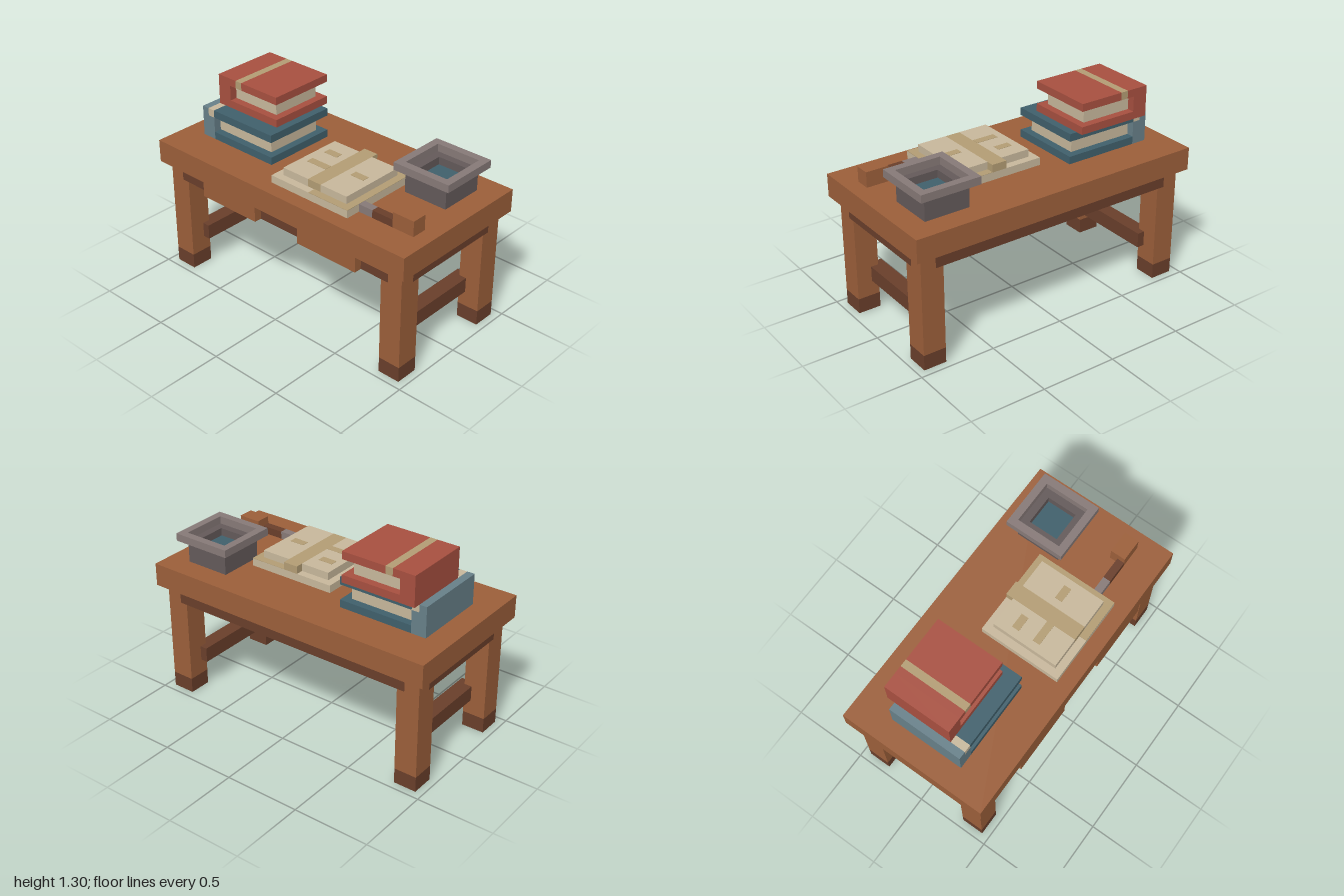
import * as THREE from 'three';

const mat = (name, color) => {
  const m = new THREE.MeshStandardMaterial({ color });
  m.name = name;
  return m;
};

export function createModel() {
  const brown = mat('wood', 0x9c5f3a), dark = mat('darkWood', 0x6a3f2b);
  const red = mat('redCover', 0xa85040), teal = mat('tealCover', 0x40606c);
  const paleTeal = mat('tealSpine', 0x678089), cream = mat('paper', 0xc8b89c);
  const tan = mat('tan', 0xb39d74), grey = mat('lightGrey', 0x877a78), darkGrey = mat('darkGrey', 0x645a5a);

  const model = new THREE.Group();
  model.name = 'writingDesk';
  const group = (name) => {
    const g = new THREE.Group();
    g.name = name;
    model.add(g);
    return g;
  };
  // Box given by its limits on each axis
  const box = (parent, name, material, [x0, x1], [y0, y1], [z0, z1]) => {
    const mesh = new THREE.Mesh(new THREE.BoxGeometry(x1 - x0, y1 - y0, z1 - z0), material);
    mesh.position.set((x0 + x1) / 2, (y0 + y1) / 2, (z0 + z1) / 2);
    mesh.name = name;
    parent.add(mesh);
    return mesh;
  };
  const side = (s, a, b) => (s > 0 ? [a, b] : [-b, -a]);
  // Square ring with a square hole, extruded upward
  const ring = (parent, name, material, outer, inner, y, height) => {
    const square = (T, r) => new T([[-r, -r], [r, -r], [r, r], [-r, r]].map(([a, b]) => new THREE.Vector2(a, b)));
    const shape = square(THREE.Shape, outer);
    shape.holes.push(square(THREE.Path, inner));
    const geo = new THREE.ExtrudeGeometry(shape, { depth: height, bevelEnabled: false });
    geo.rotateX(-Math.PI / 2);
    const mesh = new THREE.Mesh(geo, material);
    mesh.position.set(0.7, y, -0.2);
    mesh.name = name;
    parent.add(mesh);
  };

  // Table: top, legs, aprons and side stretchers
  const table = group('table');
  box(table, 'tableTop', brown, [-1, 1], [0.75, 0.9], [-0.5, 0.5]);
  for (const s of [-1, 1]) {
    for (const t of [-1, 1]) {
      box(table, 'foot', dark, side(s, 0.8, 0.95), [0, 0.1], side(t, 0.3, 0.45));
      box(table, 'leg', brown, side(s, 0.8, 0.95), [0.1, 0.65], side(t, 0.3, 0.45));
      box(table, 'legTop', brown, side(s, 0.85, 0.95), [0.65, 0.75], side(t, 0.35, 0.45));
    }
    box(table, 'longApron', dark, [-0.85, 0.85], [0.65, 0.75], side(s, 0.35, 0.45));
    box(table, 'sideApron', dark, side(s, 0.85, 0.95), [0.65, 0.75], [-0.35, 0.35]);
    box(table, 'stretcher', dark, side(s, 0.75, 0.85), [0.2, 0.3], [-0.35, 0.35]);
  }
  for (const x of [[-0.6, -0.15], [0.2, 0.65]]) box(table, 'frontPanel', brown, x, [0.65, 0.75], [0.45, 0.5]);

  // Teal book, with a cream band beside the spine
  const tealBook = group('tealBook');
  box(tealBook, 'spineLower', paleTeal, [-0.85, -0.75], [0.9, 1.05], [-0.25, 0.25]);
  box(tealBook, 'spineUpper', paleTeal, [-0.85, -0.8], [1.05, 1.1], [-0.25, 0.25]);
  box(tealBook, 'band', cream, [-0.8, -0.75], [1.05, 1.1], [-0.25, 0.25]);
  for (const y of [0.9, 1.05]) box(tealBook, 'cover', teal, [-0.75, -0.25], [y, y + 0.05], [-0.25, 0.25]);
  box(tealBook, 'pages', cream, [-0.75, -0.3], [0.95, 1.05], [-0.2, 0.2]);

  // Red book, with a tan band across its upper cover
  const redBook = group('redBook');
  box(redBook, 'spine', red, [-0.8, -0.7], [1.1, 1.3], [-0.3, 0.15]);
  box(redBook, 'lowerCover', red, [-0.7, -0.3], [1.1, 1.15], [-0.3, 0.15]);
  box(redBook, 'upperCoverInner', red, [-0.7, -0.65], [1.25, 1.3], [-0.3, 0.15]);
  box(redBook, 'band', tan, [-0.65, -0.6], [1.25, 1.3], [-0.3, 0.15]);
  box(redBook, 'upperCover', red, [-0.6, -0.3], [1.25, 1.3], [-0.3, 0.15]);
  box(redBook, 'pages', cream, [-0.7, -0.35], [1.15, 1.25], [-0.25, 0.1]);

  // Open book: base, pages, centre ribbon and thin marks
  const openBook = group('openBook');
  box(openBook, 'base', cream, [-0.1, 0.5], [0.9, 0.95], [-0.15, 0.4]);
  box(openBook, 'baseShade', tan, [0.2, 0.5], [0.949, 0.952], [-0.15, 0.4]);
  box(openBook, 'leftPages', cream, [-0.05, 0.15], [0.95, 1], [-0.1, 0.35]);
  box(openBook, 'rightPages', cream, [0.25, 0.45], [0.95, 1], [-0.1, 0.35]);
  box(openBook, 'ribbon', tan, [0.15, 0.25], [0.95, 1], [-0.15, 0.35]);
  for (const [x0, x1, z] of [[0, 0.1, 0], [0, 0.15, 0.15], [0.3, 0.4, 0.1]])
    box(openBook, 'mark', tan, [x0, x1], [0.999, 1.002], [z, z + 0.05]);

  // Square inkwell
  const inkwell = group('inkwell');
  ring(inkwell, 'wall', darkGrey, 0.15, 0.1, 0.9, 0.15);
  ring(inkwell, 'rim', grey, 0.2, 0.15, 1.05, 0.05);
  box(inkwell, 'ink', teal, [0.6, 0.8], [0.9, 1], [-0.3, -0.1]);

  // Pen lying beside the book
  const pen = group('pen');
  box(pen, 'tip', grey, [0.5, 0.6], [0.9, 0.95], [0.25, 0.3]);
  box(pen, 'shaft', dark, [0.6, 0.75], [0.9, 0.95], [0.25, 0.3]);
  box(pen, 'handle', brown, [0.75, 0.9], [0.9, 1], [0.2, 0.3]);

  return model;
}
